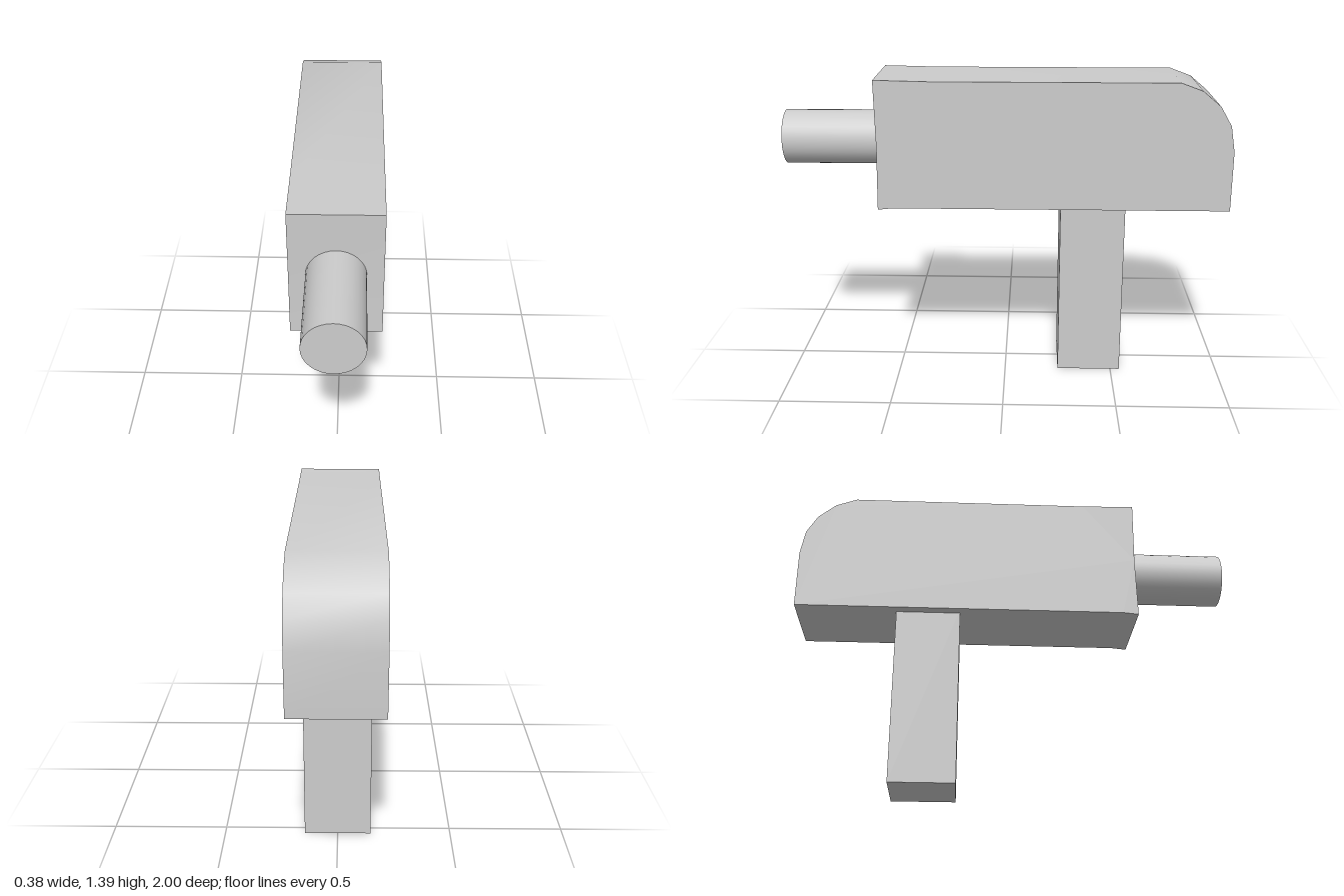
import * as THREE from 'three';
import { toCreasedNormals } from 'three/addons/utils/BufferGeometryUtils.js';

const material = new THREE.MeshStandardMaterial({ color: 0xcccccc });

function part(name, geometry, x, y, z) {
  const mesh = new THREE.Mesh(geometry, material);
  mesh.name = name;
  mesh.position.set(x, y, z);
  return mesh;
}

// Side profile (z, y) extruded across x, with a faceted rounded back
function bodyGeometry(width) {
  const profile = [
    [0.57, 0.803], [0.565, 1.09], [0.57, 1.387], [0.33, 1.382],
    [-0.755, 1.382], [-0.85, 1.347], [-0.93, 1.28], [-0.98, 1.195],
    [-1, 1.08], [-1, 0.81], [0.5, 0.81],
  ].map(([z, y]) => new THREE.Vector2(z, y));
  const geometry = new THREE.ExtrudeGeometry(new THREE.Shape(profile), {
    depth: width, bevelEnabled: false,
  });
  geometry.translate(0, 0, -width / 2).rotateY(-Math.PI / 2);
  return toCreasedNormals(geometry, 0.6);
}

export function createModel() {
  const model = new THREE.Group();
  model.name = 'model';

  // Long body with rounded rear
  model.add(part('body', bodyGeometry(0.384), 0, 0, 0));

  // Round barrel, set slightly into the front of the body
  const barrel = new THREE.CylinderGeometry(0.123, 0.123, 0.46, 32).rotateX(Math.PI / 2);
  model.add(part('barrel', barrel, 0, 1.093, 0.77));

  // Square grip below the body
  model.add(part('grip', new THREE.BoxGeometry(0.292, 0.83, 0.292), 0, 0.415, -0.396));

  return model;
}
